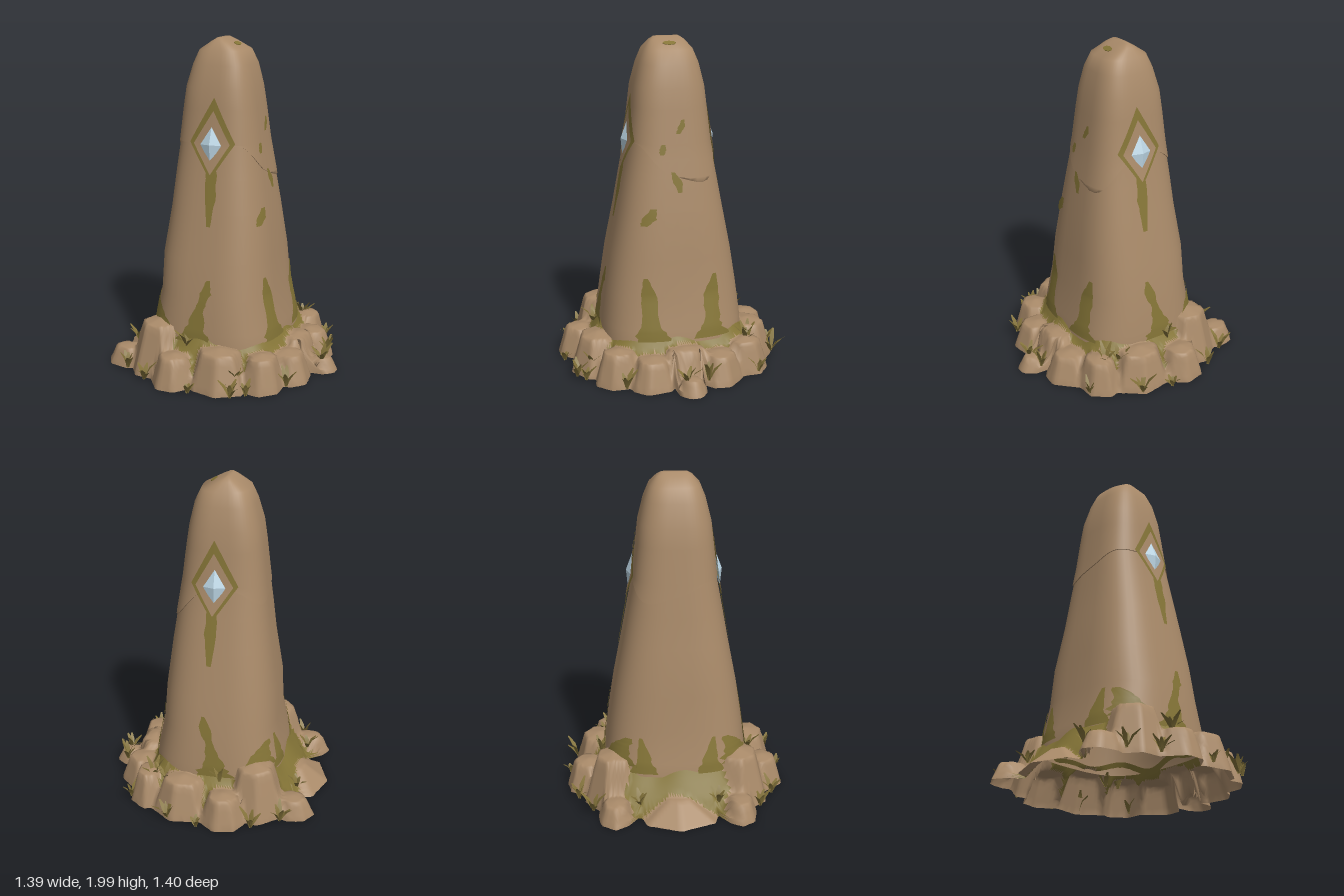
import * as THREE from 'three';
import { mergeGeometries } from 'three/addons/utils/BufferGeometryUtils.js';

const mat = (name, color) => new THREE.MeshStandardMaterial({ name, color, side: THREE.DoubleSide });
const stone = mat('sandstone', 0xa98a69);
const moss = mat('moss', 0x857537);
const grass = mat('dry grass', 0x83723a);
const crystal = mat('pale blue crystal', 0xbdd7e6);

let seed = 7;
const rand = () => (seed = (seed * 16807) % 2147483647) / 2147483647;
const lerp = THREE.MathUtils.lerp;

// Pillar outline: height, left x, right x, half depth
const ROWS = [
  [0, -0.46, 0.39, 0.45], [0.3, -0.43, 0.355, 0.435], [0.5, -0.39, 0.315, 0.41],
  [0.72, -0.383, 0.3, 0.375], [1, -0.34, 0.263, 0.32], [1.2, -0.318, 0.232, 0.283],
  [1.4, -0.293, 0.2, 0.245], [1.6, -0.27, 0.175, 0.222], [1.72, -0.253, 0.157, 0.208],
  [1.85, -0.215, 0.127, 0.175], [1.93, -0.18, 0.09, 0.142], [1.98, -0.105, -0.005, 0.1],
  [2, -0.07, -0.05, 0.07],
];
const POWER = 3;

// Centre x, half width and half depth of the pillar at a height
function section(y, off = 0) {
  let i = 0;
  while (i < ROWS.length - 2 && y > ROWS[i + 1][0]) i++;
  const a = ROWS[i], b = ROWS[i + 1], t = (y - a[0]) / (b[0] - a[0]);
  const [x0, x1, d] = [1, 2, 3].map((k) => lerp(a[k], b[k], t));
  return { c: (x0 + x1) / 2, w: (x1 - x0) / 2 + off, d: d + off };
}
const round = (v) => Math.sign(v) * Math.abs(v) ** (2 / POWER);
function ringPoint(a, y, off) {
  const s = section(y, off);
  return [s.c + s.w * round(Math.cos(a)), y, s.d * round(Math.sin(a))];
}

// Skin through closed rings; point(row, angle) gives each corner
function loft(rows, sides, point, top) {
  const pos = [], index = [];
  for (let r = 0; r < rows; r++)
    for (let i = 0; i < sides; i++) pos.push(...point(r, (i / sides) * Math.PI * 2));
  for (let r = 0; r < rows - 1; r++)
    for (let i = 0; i < sides; i++) {
      const j = (i + 1) % sides, a = r * sides + i, b = r * sides + j;
      index.push(a, a + sides, b, b, a + sides, b + sides);
    }
  if (top) {
    pos.push(...top);
    const last = (rows - 1) * sides;
    for (let i = 0; i < sides; i++) index.push(last + i, rows * sides, last + ((i + 1) % sides));
  }
  return build(pos, index);
}
function build(pos, index) {
  const g = new THREE.BufferGeometry();
  g.setAttribute('position', new THREE.Float32BufferAttribute(pos, 3));
  g.setIndex(index);
  g.computeVertexNormals();
  return g;
}

// Point lying on one face of the pillar, s being the sideways position
function onFace(face, s, y, off) {
  const q = section(y, off), axis = face[1], sign = face[0] === '+' ? 1 : -1;
  const [mid, half, depth] = axis === 'z' ? [q.c, q.w, q.d] : [0, q.d, q.w];
  const u = Math.min(1, Math.abs((s - mid) / half));
  const out = sign * depth * (1 - u ** POWER) ** (1 / POWER);
  return axis === 'z' ? [s, y, out] : [q.c + out, y, s];
}
// Thin patch hugging the pillar: path entries are [s, y, half width]
function patch(face, path, off, rough = 0) {
  const pos = [], index = [], n = 5, cols = 4;
  for (let i = 0; i < path.length - 1; i++)
    for (let k = i ? 1 : 0; k <= n; k++) {
      const [s, y, w] = [0, 1, 2].map((m) => lerp(path[i][m], path[i + 1][m], k / n));
      const l = w * (1 + rough * (rand() - 0.5)), r = w * (1 + rough * (rand() - 0.5));
      for (let c = 0; c <= cols; c++) pos.push(...onFace(face, lerp(s - l, s + r, c / cols), y, off));
    }
  const row = cols + 1;
  for (let i = 0; i < pos.length / 3 / row - 1; i++)
    for (let c = 0; c < cols; c++) {
      const a = i * row + c;
      index.push(a, a + 1, a + row, a + 1, a + row + 1, a + row);
    }
  return build(pos, index);
}

// Boulders: x, z, half width, half depth, height, steepness; the first six are mirrored in z
const PAIRS = [[-0.53, 0.37, 0.14, 0.11, 0.13, 2.4], [-0.3, 0.37, 0.2, 0.19, 0.34, 2.2], [-0.14, 0.54, 0.14, 0.14, 0.2, 2.4],
  [0.12, 0.47, 0.19, 0.165, 0.25, 2.4], [0.35, 0.39, 0.13, 0.15, 0.22, 2.4], [0.44, 0.2, 0.15, 0.15, 0.19, 2.4]];
const SINGLES = [[-0.5, 0, 0.2, 0.26, 0.13, 1.3], [0.43, 0, 0.12, 0.18, 0.23, 2.6], [0.59, 0, 0.1, 0.1, 0.1, 2]];
const ROCKS = [...PAIRS, ...PAIRS.map(([x, z, ...rest]) => [x, -z, ...rest]), ...SINGLES].map((r) => {
  const turn = rand(), sides = 7;
  const planes = Array.from({ length: sides }, (_, k) => {
    const a = turn + (k / sides) * Math.PI * 2, reach = 0.9 + rand() * 0.12;
    return [Math.cos(a) / reach / r[2], Math.sin(a) / reach / r[3]];
  });
  return { r, planes };
});
// Height of the highest boulder over a spot: chamfered many-sided blocks
function rockHeight(x, z) {
  return Math.max(...ROCKS.map(({ r, planes }) => {
    const u = Math.max(...planes.map(([a, b]) => a * (x - r[0]) + b * (z - r[1])));
    return r[4] * Math.min(1 - 0.15 * u, r[5] * (1 - u));
  }));
}
// Height of the moss bank at a distance from the pillar wall
const BANK = [[0, 0.27], [0.03, 0.22], [0.07, 0.16], [0.11, 0.1], [0.15, 0.02], [0.17, 0], [9, -1]];
function bankHeight(d, a) {
  const i = Math.max(1, BANK.findIndex((b) => b[0] >= d)), p = BANK[i - 1], q = BANK[i];
  return lerp(p[1], q[1], (d - p[0]) / (q[0] - p[0])) * (1 + 0.07 * Math.sin(a * 5) + 0.06 * Math.cos(a * 8));
}

// Foot of the pillar: one skin over boulders and moss, split by colour
function foot() {
  const sides = 200, rings = 18, pos = [], stoneIndex = [], mossIndex = [], isRock = [];
  const wall = section(0.3, -0.012);
  for (let i = 0; i < sides; i++) {
    const a = (i / sides) * Math.PI * 2, cx = Math.cos(a), cz = Math.sin(a);
    const r0 = (Math.abs(cx / wall.w) ** POWER + Math.abs(cz / wall.d) ** POWER) ** (-1 / POWER);
    let r1 = 0.85;
    while (Math.max(rockHeight(wall.c + cx * r1, cz * r1), bankHeight(r1 - r0, a)) < 0.01) r1 -= 0.004;
    for (let k = 0; k <= rings; k++) {
      const r = lerp(r0, r1, 1 - (1 - k / rings) ** 1.4), x = wall.c + cx * r, z = cz * r;
      const rock = rockHeight(x, z), bank = bankHeight(r - r0, a);
      pos.push(x, k === rings ? 0.01 : Math.max(0.01, rock, bank), z);
      isRock.push(rock > bank ? 1 : 0);
    }
  }
  const row = rings + 1;
  for (let i = 0; i < sides; i++)
    for (let k = 0; k < rings; k++) {
      const a = i * row + k, b = ((i + 1) % sides) * row + k;
      for (const t of [[a, b, a + 1], [b, b + 1, a + 1]])
        (t.reduce((n, v) => n + isRock[v], 0) > 1 ? stoneIndex : mossIndex).push(...t);
    }
  const whole = build(pos, [...stoneIndex, ...mossIndex]);
  return [stoneIndex, mossIndex].map((index) => whole.clone().setIndex(index));
}

// Tuft of bent blades
function tuft(x, y, z, size) {
  const pos = [], index = [];
  for (let b = 0; b < 6; b++) {
    const a = b * 1.05 + rand() * 0.8, lean = size * (0.3 + rand() * 0.6), tall = size * (0.7 + rand() * 0.5);
    const dx = Math.cos(a), dz = Math.sin(a), start = pos.length / 3;
    [[0, 0, 0.008], [0.45, 0.65, 0.015], [1, 1, 0.005]].forEach(([o, h, w]) => {
      for (const s of [-w, w]) pos.push(x + dx * lean * o - dz * s, y + tall * h, z + dz * lean * o + dx * s);
    });
    for (const k of [start, start + 2]) index.push(k, k + 1, k + 2, k + 1, k + 3, k + 2);
  }
  return build(pos, index);
}

export function createModel() {
  const model = new THREE.Group();
  const add = (name, geometry, material) => {
    const m = new THREE.Mesh(geometry, material);
    m.name = name;
    model.add(m);
    return m;
  };

  // Pillar shaft and the overlapping cap with its stepped lower edge
  const shaft = [0.22, ...ROWS.slice(1, 9).map((r) => r[0])];
  add('pillar', loft(shaft.length, 48, (r, a) => ringPoint(a, shaft[r], 0)), stone);
  const capRows = [1.12, 1.12, 1.2, 1.3, ...ROWS.slice(6).map((r) => r[0])];
  const edge = (a) => 1.4 - 0.23 * Math.max(0, Math.cos(a + 0.35)) ** 3 - 0.12 * Math.max(0, Math.cos(a - 3.6)) ** 4;
  add('pillarCap', loft(capRows.length, 48,
    (r, a) => ringPoint(a, Math.max(capRows[r], edge(a)), r ? 0.006 : -0.005), [-0.06, 2, 0]), stone);

  const [boulders, bank] = foot();
  add('boulders', boulders, stone);
  add('mossBank', bank, moss);

  // Front and back: framed diamond with a crystal, and moss trails on every face
  for (const [face, sign] of [['+z', 1], ['-z', -1]]) {
    const diamond = (y, down, up, w) => [[-0.02, y - down, 0.001], [-0.025, y, w], [-0.02, y + up, 0.001]];
    add('diamondFrame', patch(face, diamond(1.41, 0.21, 0.26, 0.14), 0.011), moss);
    add('diamondPanel', patch(face, diamond(1.405, 0.175, 0.19, 0.112), 0.015), stone);
    const gem = add('crystal', new THREE.OctahedronGeometry(1), crystal);
    gem.scale.set(0.066, 0.105, 0.024);
    gem.position.set(-0.027, 1.4, sign * 0.262);
    gem.rotation.x = sign * -0.13;
    add('mossDrip', patch(face, [[-0.015, 1.26, 0.03], [-0.01, 1.12, 0.035], [-0.01, 0.93, 0.012]], 0.008, 0.3), moss);
    add('mossTrail', patch(face, [[-0.06, 0.24, 0.12], [-0.06, 0.32, 0.06], [-0.03, 0.45, 0.025], [0, 0.54, 0.035], [0.015, 0.62, 0.01]], 0.006, 0.35), moss);
    add('mossTrail', patch(face, [[-0.31, 0.28, 0.1], [-0.33, 0.38, 0.05], [-0.36, 0.45, 0.01]], 0.006, 0.3), moss);
    add('mossTrail', patch('+x', [[sign * 0.17, 0.24, 0.12], [sign * 0.19, 0.33, 0.05], [sign * 0.19, 0.5, 0.045], [sign * 0.21, 0.62, 0.012]], 0.006, 0.35), moss);
    add('mossTrail', patch('-x', [[sign * 0.2, 0.24, 0.08], [sign * 0.2, 0.34, 0.04], [sign * 0.22, 0.46, 0.01]], 0.006, 0.35), moss);
  }

  // Small moss spots on the model's left side and on top
  [[[0.21, 0.93, 0.02], [0.18, 0.97, 0.04], [0.15, 1.03, 0.02]], [[-0.01, 1.12, 0.012], [0, 1.18, 0.03], [0.03, 1.24, 0.012]],
    [[-0.01, 1.46, 0.012], [-0.03, 1.5, 0.02], [-0.04, 1.54, 0.008]], [[0.09, 1.34, 0.012], [0.085, 1.37, 0.02], [0.08, 1.4, 0.01]]]
    .forEach((path) => add('mossSpot', patch('+x', path, 0.011, 0.4), moss));
  const spot = add('mossSpot', new THREE.CylinderGeometry(0.02, 0.02, 0.005, 8), moss);
  spot.scale.z = 2;
  spot.position.set(0.03, 1.965, 0);
  spot.rotation.z = -0.48;

  // Grass tufts: x, y, z, size
  const spots = [[-0.48, 0.03, 0.5, 0.09], [-0.32, 0.02, 0.59, 0.09], [0, 0.02, 0.66, 0.06], [-0.1, 0.22, 0.46, 0.09],
    [-0.54, 0.1, 0.24, 0.08], [0.24, 0.08, 0.53, 0.09], [0.25, 0.02, 0.62, 0.09], [0.33, 0.03, 0.58, 0.08], [0.5, 0.03, 0.37, 0.09]];
  const back = [[-0.48, 0.03, -0.51, 0.1], [-0.32, 0.02, -0.6, 0.1], [0, 0.02, -0.66, 0.06], [-0.1, 0.22, -0.46, 0.09],
    [-0.54, 0.1, -0.23, 0.08], [0.19, 0.03, -0.62, 0.11], [0.24, 0.16, -0.44, 0.11], [0.32, 0.16, -0.41, 0.11],
    [0.46, 0.03, -0.45, 0.08], [0.59, 0.07, -0.1, 0.11], [0.6, 0.07, 0.03, 0.1]];
  add('grassTufts', mergeGeometries([...spots, ...back].map((p) => tuft(...p))), grass);
  return model;
}
